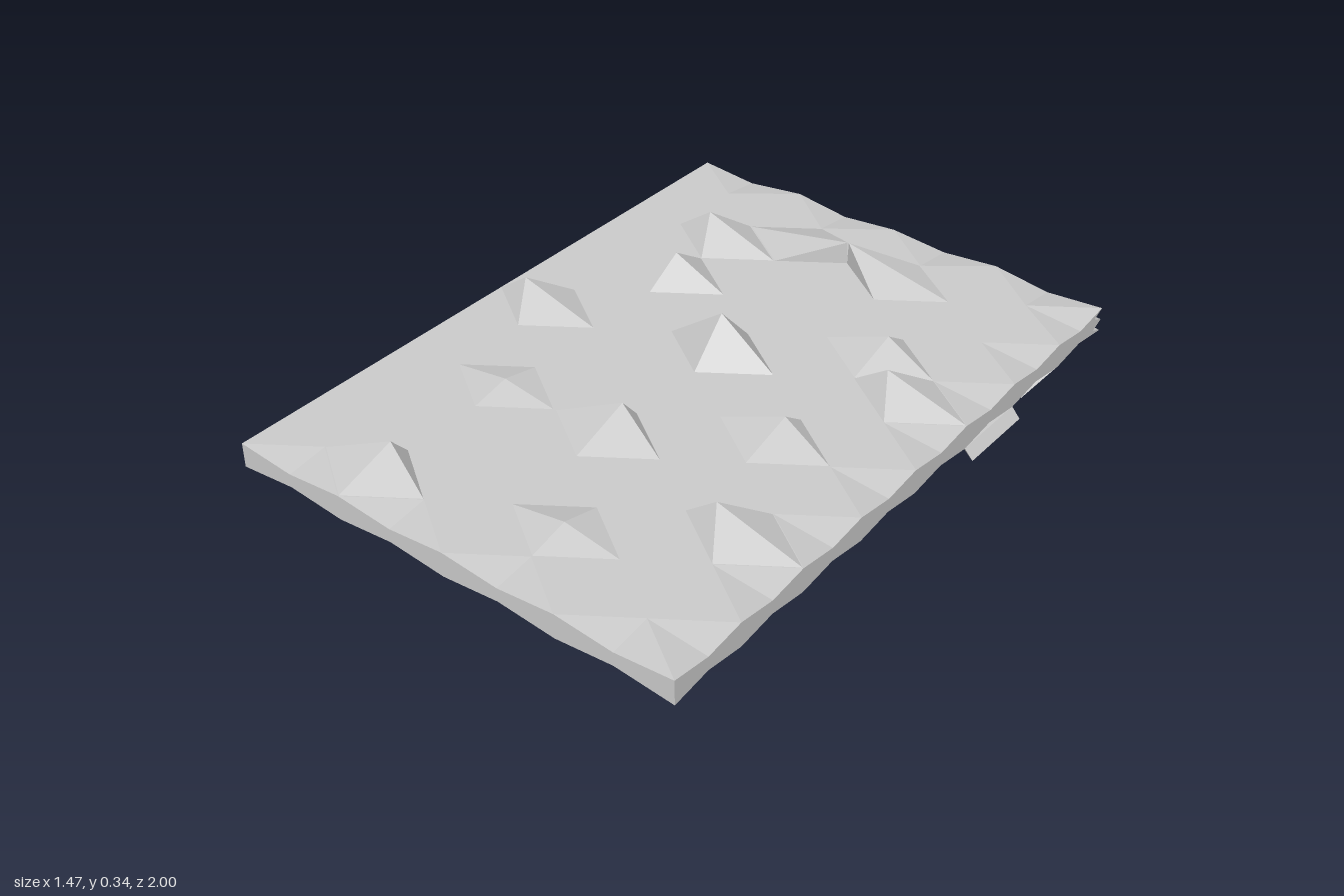
import * as THREE from 'three';
import { ConvexGeometry } from 'three/addons/geometries/ConvexGeometry.js';

const TOP = 0.215, BOTTOM = 0.14, MID = 0.1775;
const STEP_X = 0.18, STEP_Z = 0.1228;
const X0 = -0.735, Z0 = 1.0;
const material = new THREE.MeshStandardMaterial({ color: 0xcccccc, flatShading: true });

function addMesh(group, geometry, name) {
  const mesh = new THREE.Mesh(geometry, material);
  mesh.name = name;
  group.add(mesh);
}

// Slab with a scalloped rim and a folded back wall
function slabGeometry() {
  const geo = new THREE.BoxGeometry(8 * STEP_X, TOP - BOTTOM, 16 * STEP_Z, 8, 4, 16);
  geo.translate(X0 + 4 * STEP_X, MID, Z0 - 8 * STEP_Z);
  const p = geo.attributes.position;
  const column = (n) => Math.round((p.getX(n) - X0) / STEP_X);
  const line = (n) => Math.round((Z0 - p.getZ(n)) / STEP_Z);

  // Turn each quad's diagonal to join the high lattice points
  const index = geo.index.array;
  for (let k = 0; k < index.length; k += 6) {
    const [a, b, d, , c] = index.slice(k, k + 6);
    if ((column(b) + line(b)) % 2) index.set([a, b, c, a, c, d], k);
  }

  const bulge = [0, 0.005, 0.035, 0.015, 0.02, 0.03, 0.035, 0.01, 0];
  for (let n = 0; n < p.count; n++) {
    const i = column(n), j = line(n);
    const row = Math.round((p.getY(n) - BOTTOM) / ((TOP - BOTTOM) / 4));
    const rim = i === 8 || j === 0 || j === 16 || (i === 0 && row < 2);
    if (rim && (i + j) % 2) p.setY(n, MID + (p.getY(n) - MID) * 0.55);
    if (j === 16) {
      let out = bulge[i] * [0.4, 0.8, 1, 0.8, 0.4][row];
      if (row % 2 && bulge[i] === 0) out = -0.04;
      p.setZ(n, p.getZ(n) - out);
    }
  }
  geo.computeVertexNormals();
  return geo;
}

// Diamond-based spike on lattice point (i, j); the tip may be a short ridge
function spikeGeometry(i, j, base, tips) {
  const x = X0 + i * STEP_X, z = Z0 - j * STEP_Z;
  const points = [[-1, 0], [1, 0], [0, -1], [0, 1]].map(
    ([a, b]) => new THREE.Vector3(Math.min(x + a * STEP_X, 0.705), base, z + b * STEP_Z));
  for (const t of tips) points.push(new THREE.Vector3(...t));
  return new ConvexGeometry(points);
}

export function createModel() {
  const group = new THREE.Group();
  group.name = 'spikedSlab';
  addMesh(group, slabGeometry(), 'slab');

  // Upper spikes: lattice i, j, then tip x, y, z
  const upper = [
    [2, 1, -0.375, 0.275, 0.81], [5, 2, 0.165, 0.245, 0.755],
    [7, 4, 0.44, 0.285, 0.505], [2, 5, -0.375, 0.24, 0.385],
    [4, 5, -0.015, 0.28, 0.32], [6, 7, 0.345, 0.265, 0.09],
    [1, 8, -0.635, 0.285, 0.015], [4, 9, -0.015, 0.345, -0.105],
    [7, 10, 0.45, 0.285, -0.23], [2, 11, -0.375, 0.29, -0.355],
    [6, 11, 0.345, 0.265, -0.395], [2, 13, -0.44, 0.295, -0.6],
    [3, 14, -0.017, 0.285, -0.72], [5, 14, -0.013, 0.285, -0.72],
  ];
  for (const [i, j, ...tip] of upper)
    addMesh(group, spikeGeometry(i, j, TOP - 0.001, [tip]), 'upperSpike');

  // Lower spikes: lattice i, j, tip x, y, z, then ridge length along x and z
  const lower = [
    [2, 1, -0.375, 0, 0.875, 0, 0], [6, 3, 0.345, 0.055, 0.62, 0, 0],
    [1, 4, -0.56, 0.07, 0.51, 0, 0], [4, 5, -0.015, 0.07, 0.42, 0, 0],
    [2, 5, -0.45, 0.04, 0.27, 0.13, 0], [5, 6, 0.165, 0.06, 0.26, 0, 0],
    [7, 8, 0.525, 0.07, 0.08, 0, 0.12], [6, 9, 0.2, 0.032, -0.06, 0, 0.16],
    [4, 9, -0.06, 0.032, -0.06, 0.11, 0.16], [2, 9, -0.375, 0.005, -0.225, 0, 0],
    [1, 10, -0.57, 0.07, -0.23, 0.05, 0], [5, 12, 0.14, 0.07, -0.5, 0.08, 0],
    [2, 13, -0.375, 0.06, -0.52, 0, 0], [7, 14, 0.59, 0.06, -0.7, 0.12, 0.14],
    [4, 15, -0.015, 0.06, -0.8, 0, 0], [1, 14, -0.69, 0.095, -0.72, 0.09, 0],
  ];
  for (const [i, j, x, y, z, rx, rz] of lower) {
    const tips = [[x - rx / 2, y, z - rz / 2], [x + rx / 2, y, z + rz / 2]];
    addMesh(group, spikeGeometry(i, j, BOTTOM + 0.001, rx + rz ? tips : [tips[0]]), 'lowerSpike');
  }

  // Half spike whose outer edge overhangs the side
  addMesh(group, spikeGeometry(8, 11, BOTTOM + 0.001,
    [[0.73, 0.11, -0.475], [0.73, 0.11, -0.23]]), 'sideSpike');

  return group;
}
